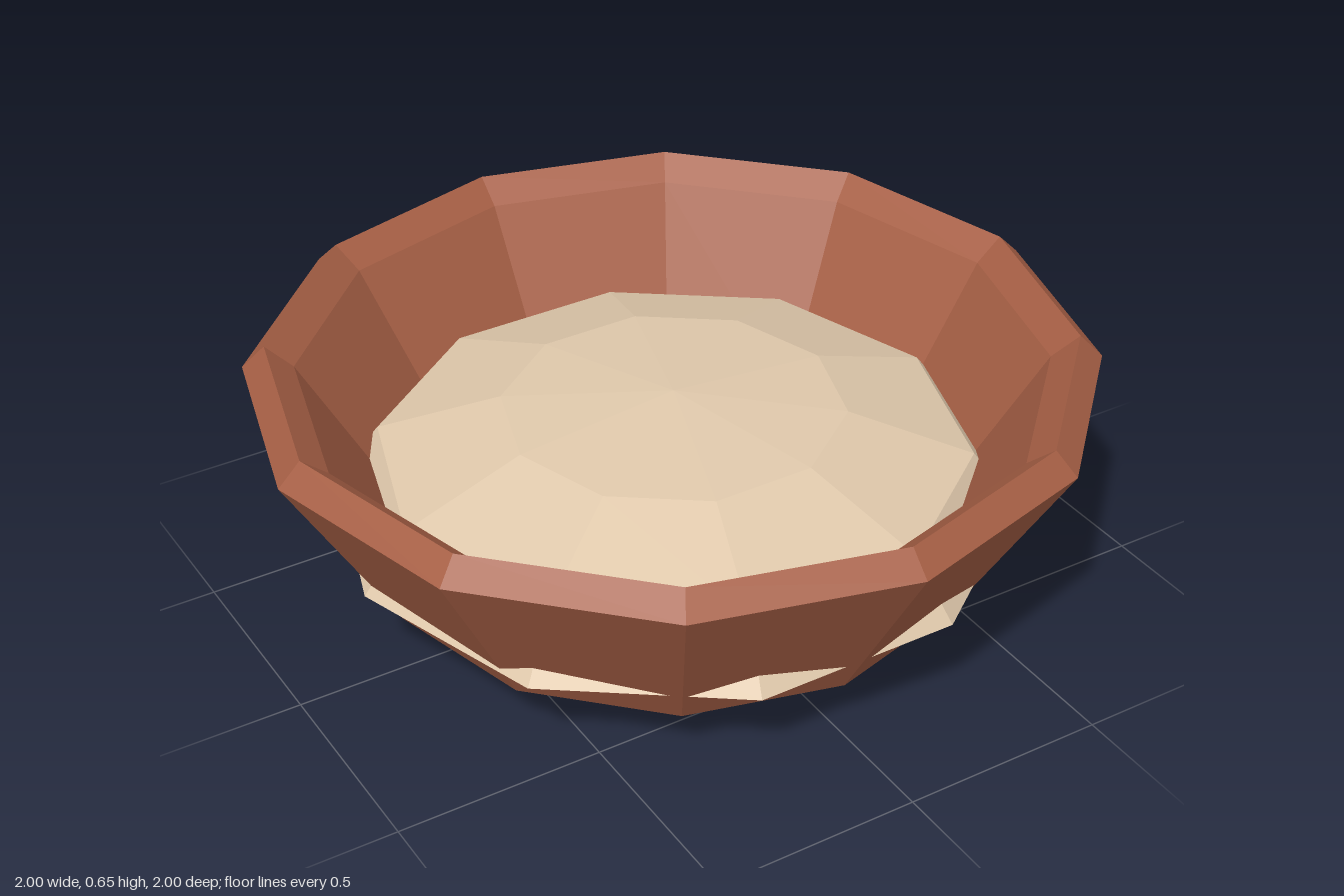
import * as THREE from 'three';

export function createModel() {
  const model = new THREE.Group();
  model.name = 'filledBowl';

  const clay = new THREE.MeshStandardMaterial({ name: 'clayBrown', color: 0xa65f45, flatShading: true });
  const cream = new THREE.MeshStandardMaterial({ name: 'creamFilling', color: 0xdfc8ab, flatShading: true });

  // Bowl: twelve-sided wall, up the outside, over the bevelled rim and down the inside
  const profile = [
    [0, 0], [0.45, 0], [0.73, 0.14], [1, 0.6], [0.945, 0.655],
    [0.88, 0.6], [0.62, 0.17], [0.4, 0.08], [0, 0.08],
  ].map(([r, y]) => new THREE.Vector2(r, y));
  const bowl = new THREE.Mesh(new THREE.LatheGeometry(profile, 12), clay);
  bowl.name = 'bowl';
  model.add(bowl);

  // Filling: flattened ten-sided dome whose corners just poke through the wall
  const radius = 0.82, height = 0.28, level = 0.24;
  const filling = new THREE.Group();
  filling.name = 'filling';
  filling.position.y = level;

  const domeGeometry = new THREE.SphereGeometry(radius, 10, 3, 0, Math.PI * 2, 0, Math.PI / 2);
  domeGeometry.scale(1, height / radius, 1);
  const dome = new THREE.Mesh(domeGeometry, cream);
  dome.name = 'fillingDome';

  const baseGeometry = new THREE.CircleGeometry(radius, 10);
  baseGeometry.rotateX(Math.PI / 2);
  const base = new THREE.Mesh(baseGeometry, cream);
  base.name = 'fillingUnderside';

  filling.add(dome, base);
  model.add(filling);
  return model;
}
